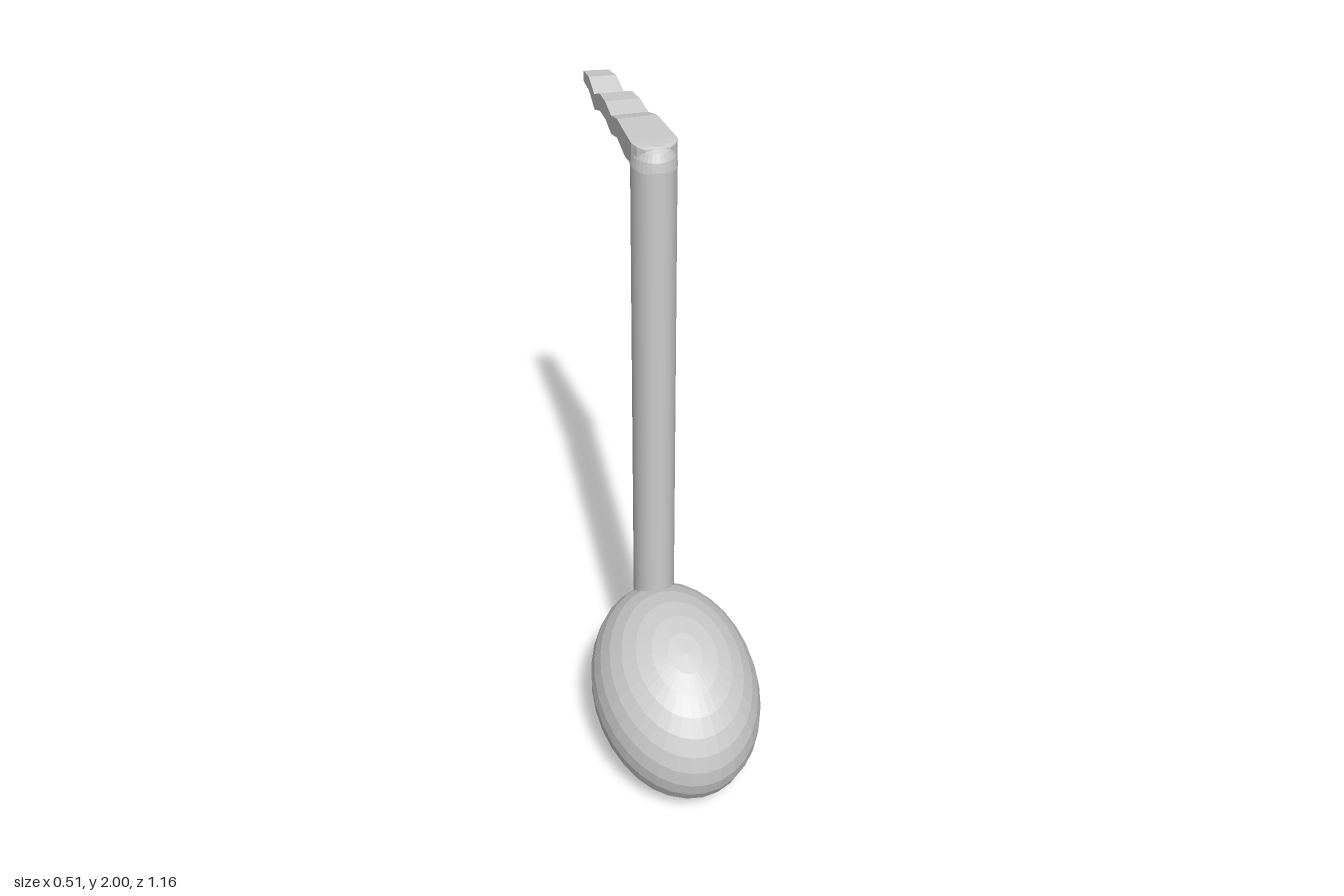
import * as THREE from 'three';

// Loft rectangular sections: [z, left x, right x, top y, bottom y, skew of z at the +x edge]
function loftBand(sections) {
  const pos = [];
  const rings = sections.map(([z, x0, x1, top, bot, skew = 0]) => [
    [x0, bot, z], [x1, bot, z + skew], [x1, top, z + skew], [x0, top, z],
  ]);
  const quad = (a, b, c, d) => pos.push(...a, ...b, ...c, ...a, ...c, ...d);
  for (let i = 0; i < rings.length - 1; i++) {
    const p = rings[i], q = rings[i + 1];
    for (let k = 0; k < 4; k++) {
      const n = (k + 1) % 4;
      quad(p[n], p[k], q[k], q[n]);
    }
  }
  quad(...rings[0]);
  quad(...rings[rings.length - 1].slice().reverse());
  const geo = new THREE.BufferGeometry();
  geo.setAttribute('position', new THREE.Float32BufferAttribute(pos, 3));
  geo.computeVertexNormals();
  return geo;
}

export function createModel() {
  const group = new THREE.Group();
  const smooth = new THREE.MeshStandardMaterial({ color: 0xcccccc });
  const flat = new THREE.MeshStandardMaterial({ color: 0xcccccc, flatShading: true });
  const add = (name, geo, mat) => {
    const mesh = new THREE.Mesh(geo, mat);
    mesh.name = name;
    group.add(mesh);
    return mesh;
  };

  // Tilted oval note head, low at the front
  const head = add('noteHead', new THREE.SphereGeometry(1, 32, 16), flat);
  head.scale.set(0.255, 0.256, 0.349);
  head.rotation.x = 0.415;
  head.position.set(0, 0.275, 0.243);

  // Oval stem, its foot sunk into the head
  const stem = add('stem', new THREE.CylinderGeometry(1, 1, 1.72, 32), smooth);
  stem.scale.set(0.062, 1, 0.075);
  stem.position.y = 0.22 + 0.86;

  // Rounded shoulder on top of the stem
  const profile = [[0, 1.935], [1, 1.935], [0.93, 1.965], [0.78, 1.987], [0.5, 1.998], [0, 1.998]];
  const cap = add('stemCap', new THREE.LatheGeometry(profile.map(([x, y]) => new THREE.Vector2(x, y)), 32), flat);
  cap.scale.set(0.064, 1, 0.075);

  // Wavy, tapering flag running back from the stem top
  const wave = [
    [0, 2, 1.94], [-0.07, 2, 1.93], [-0.16, 2, 1.945], [-0.23, 1.98, 1.925], [-0.3, 1.992, 1.94],
    [-0.37, 1.987, 1.935], [-0.437, 1.957, 1.91], [-0.507, 1.982, 1.94], [-0.578, 1.972, 1.94],
  ];
  const sections = [
    [0.042, -0.035, 0.035, 1.994, 1.94],
    [0.025, -0.053, 0.055, 1.998, 1.94],
    ...wave.map(([z, top, bot]) => {
      const t = -z / 0.578;
      return [z, -0.062 + 0.015 * t, 0.065 - 0.04 * t, top, bot, 0.012 * t];
    }),
  ];
  add('flag', loftBand(sections), flat);

  return group;
}
